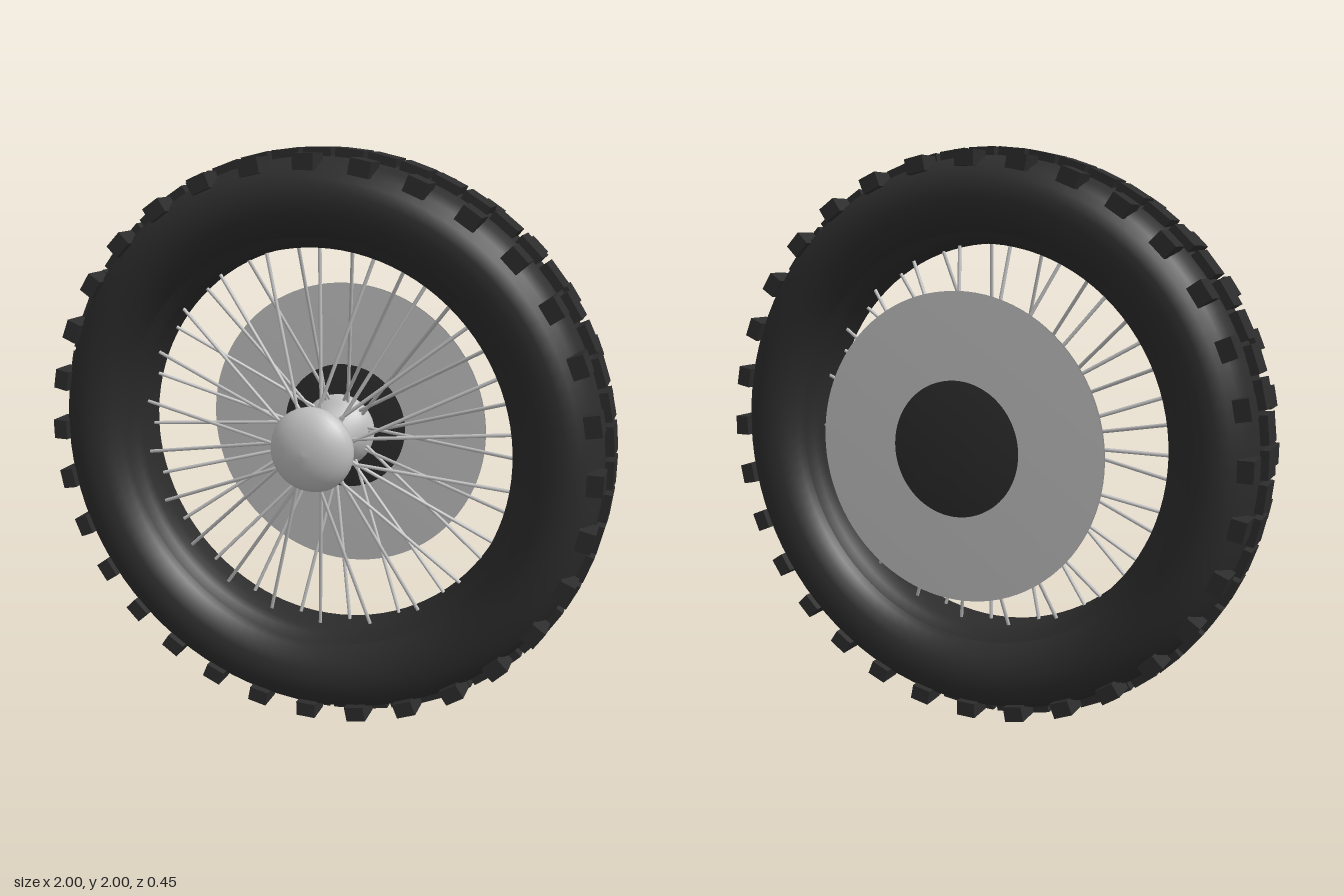
import * as THREE from 'three';

const WHEEL_Z = 0.027; // mid-plane of the tyre

export function createModel() {
  const rubber = new THREE.MeshStandardMaterial({ color: 0x2c2c2c });
  rubber.name = 'black rubber';
  const silver = new THREE.MeshStandardMaterial({ color: 0xbfbfbf });
  silver.name = 'silver metal';

  const model = new THREE.Group();
  model.name = 'spokedWheel';
  const wheel = new THREE.Group();
  wheel.name = 'wheel';
  wheel.position.set(0, 1, WHEEL_Z);
  model.add(wheel);

  const add = (name, geometry, material, parent = wheel) => {
    const mesh = new THREE.Mesh(geometry, material);
    mesh.name = name;
    parent.add(mesh);
    return mesh;
  };

  // Revolves [radius, z] points around the axle, running from back to front
  const turned = (points, segments = 96) =>
    new THREE.LatheGeometry(points.map(([r, z]) => new THREE.Vector2(r, z)), segments).rotateX(Math.PI / 2);

  // Tyre: half section from crown to bead, mirrored into a closed loop
  const half = [
    [0.976, 0], [0.972, 0.05], [0.96, 0.10], [0.94, 0.145], [0.91, 0.177], [0.87, 0.193],
    [0.83, 0.195], [0.79, 0.187], [0.755, 0.165], [0.73, 0.135], [0.72, 0.105],
  ];
  const back = half.slice(1).reverse().map(([r, z]) => [r, -z]);
  add('tyre', turned([...back, ...half]), rubber);

  // Rim band closing the inside of the tyre
  add('rim', turned([
    [0.68, 0], [0.68, -0.06], [0.695, -0.085], [0.722, -0.108],
  ].reverse().map(([r, z]) => [r, -z]).concat([
    [0.68, -0.06], [0.695, -0.085], [0.722, -0.108],
  ])), rubber);

  // Tread blocks, repeated around the wheel
  const blockRow = (name, count, [width, height, depth], radius, z) => {
    const row = new THREE.Group();
    row.name = name;
    wheel.add(row);
    const geometry = new THREE.BoxGeometry(width, height, depth).translate(0, radius - height / 2, z);
    for (let i = 0; i < count; i++) {
      add('treadBlock', geometry, rubber, row).rotation.z = (i / count) * Math.PI * 2;
    }
  };
  blockRow('centreTread', 56, [0.095, 0.05, 0.104], 0.999, 0);
  blockRow('frontShoulderTread', 32, [0.07, 0.052, 0.09], 0.982, 0.135);
  blockRow('backShoulderTread', 32, [0.07, 0.052, 0.09], 0.982, -0.135);

  // Hub: domed front end, narrow waist and flared back end
  add('hub', turned([
    [0.1, -0.23], [0.13, -0.19], [0.135, -0.16], [0.11, -0.13], [0.075, -0.09], [0.07, 0],
    [0.085, 0.05], [0.125, 0.072], [0.148, 0.092], [0.15, 0.11], [0.14, 0.137],
    [0.115, 0.162], [0.08, 0.18], [0.04, 0.19], [0, 0.193],
  ], 48), silver);

  // Brake disc and its dark centre plate
  const plate = (r, t) => turned([[0, -t], [r, -t], [r, t], [0, t]]);
  add('brakeDisc', plate(0.527, 0.007), silver).position.z = -0.239;
  add('discCentre', plate(0.232, 0.0135), rubber).position.z = -0.239;

  // Spokes: crossed pairs alternating between the two hub ends
  const spokes = new THREE.Group();
  spokes.name = 'spokes';
  wheel.add(spokes);
  const at = (r, a, z) => new THREE.Vector3(r * Math.sin(a), r * Math.cos(a), z);
  const count = 44;
  for (let i = 0; i < count; i++) {
    const angle = (i / count) * Math.PI * 2;
    const front = i % 2 === 0;
    const lean = i % 4 < 2 ? 0.22 : -0.22;
    const start = at(0.115, angle + lean, front ? 0.08 : -0.15);
    const end = at(0.69, angle, front ? 0.025 : -0.025);
    const path = new THREE.LineCurve3(start, end);
    add('spoke', new THREE.TubeGeometry(path, 1, 0.0065, 8), silver, spokes);
  }

  return model;
}
